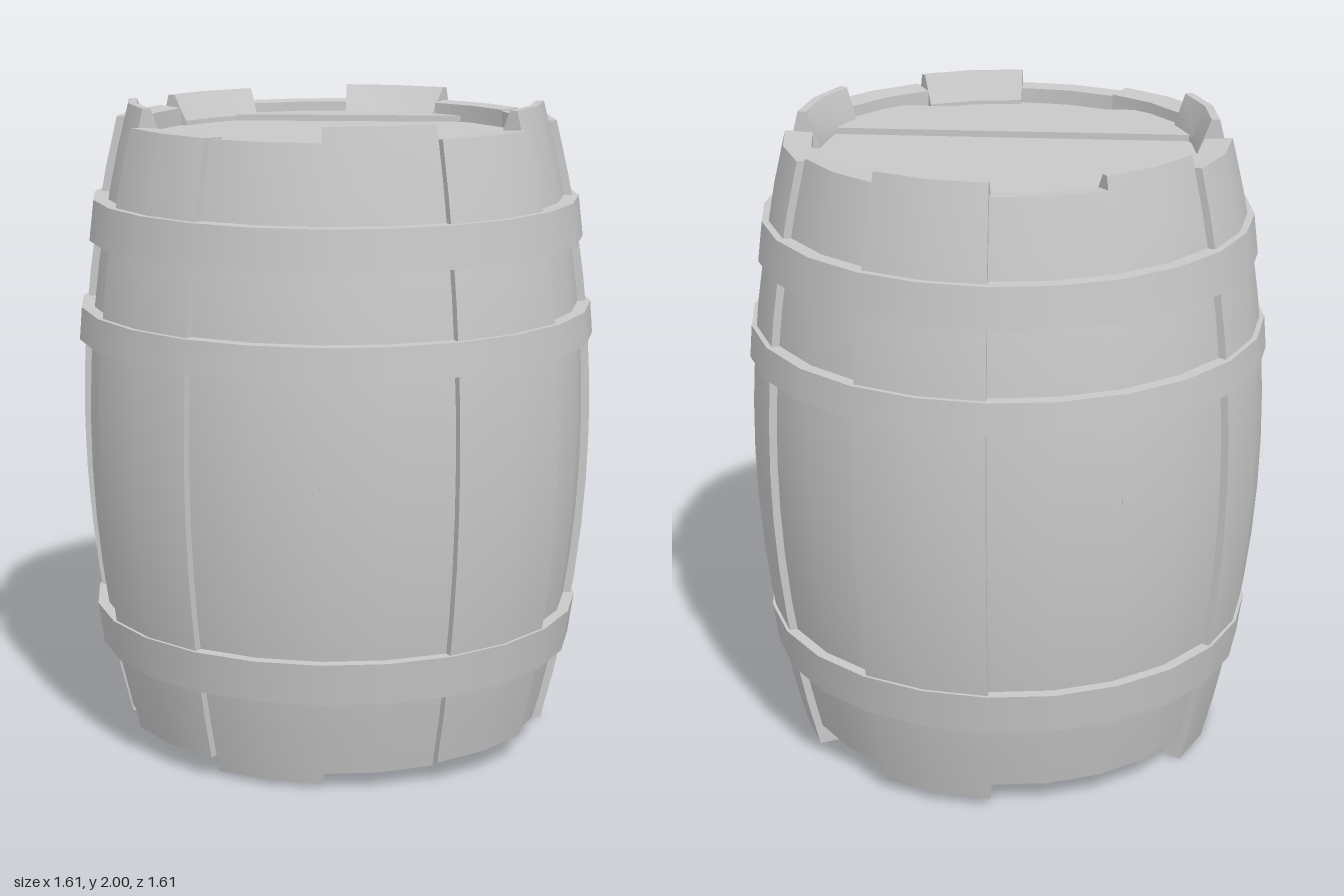
import * as THREE from 'three';
import { mergeGeometries, toCreasedNormals } from 'three/addons/utils/BufferGeometryUtils.js';

const grey = new THREE.MeshStandardMaterial({ color: 0xc8c8c8, side: THREE.DoubleSide });
grey.name = 'grey';

const V = (r, y) => new THREE.Vector2(r, y);
const deg = THREE.MathUtils.degToRad;

function addMesh(group, name, geometry) {
  const mesh = new THREE.Mesh(geometry, grey);
  mesh.name = name;
  group.add(mesh);
}

// Sweep around the axis: smooth outer skin plus sharp-edged remaining faces
function sweep(outer, rest, segments, start, length) {
  const back = [outer[outer.length - 1], ...rest, outer[0]];
  return [
    new THREE.LatheGeometry(outer, segments, start, length).toNonIndexed(),
    toCreasedNormals(new THREE.LatheGeometry(back, segments, start, length), deg(25)),
  ];
}

// One bulging stave covering 30 degrees, with closed side faces
function staveGeometry(angle, belly, bottom, top) {
  const outer = [];
  for (let i = 0; i <= 12; i++) {
    const y = bottom + (top - bottom) * i / 12;
    outer.push(V(belly - 0.136 * (y - 1) ** 2, y));
  }
  const rim = outer[12].x;
  // Tall staves have a sloping inner lip, short ones a flat end
  const lip = top > 1.96
    ? [V(rim - 0.025, top), V(0.575, 1.9), V(0.575, 1.8)]
    : [V(0.595, top - 0.005), V(0.595, 1.8)];
  const rest = [...lip, V(0.6, 0.2), V(0.6, bottom)];
  const start = deg(angle - 15), length = deg(30);
  const parts = sweep(outer, rest, 2, start, length);
  for (const a of [start, start + length]) {
    const side = new THREE.ShapeGeometry(new THREE.Shape([...outer, ...rest]));
    if (a !== start) {
      // turn the far side face outwards
      const index = side.index.array;
      for (let i = 0; i < index.length; i += 3) {
        [index[i], index[i + 1]] = [index[i + 1], index[i]];
      }
      side.computeVertexNormals();
    }
    parts.push(side.rotateY(a - Math.PI / 2).toNonIndexed());
  }
  return mergeGeometries(parts);
}

// Board cut from a disc between two parallel chords
function boardGeometry(r, v0, v1, y, thickness, turn) {
  const a0 = Math.asin(v0 / r), a1 = Math.asin(v1 / r);
  const shape = new THREE.Shape();
  shape.absarc(0, 0, r, a0, a1, false);
  shape.absarc(0, 0, r, Math.PI - a1, Math.PI - a0, false);
  return new THREE.ExtrudeGeometry(shape, { depth: thickness, bevelEnabled: false, curveSegments: 12 })
    .rotateX(-Math.PI / 2).rotateY(turn).translate(0, y, 0);
}

export function createModel() {
  const barrel = new THREE.Group();
  barrel.name = 'barrel';

  // Staves: belly radius, bottom, top; one every 30 degrees from the front
  const low = 0.775, high = 0.8;
  const staves = [
    [high, 0.07, 1.945], [low, 0.015, 1.94], [low, 0.05, 1.985], [high, 0.07, 1.945],
    [low, 0.065, 2.0], [high, 0.005, 1.94], [low, 0.07, 1.945], [high, 0.03, 1.985],
    [low, 0.07, 1.94], [low, 0.07, 1.98], [high, 0, 1.945], [low, 0.08, 2.0],
  ];
  staves.forEach(([belly, bottom, top], i) =>
    addMesh(barrel, 'stave' + (i + 1), staveGeometry(i * 30, belly, bottom, top)));

  // Hoops: bottom y, bottom radius, top y, top radius
  const hoops = [
    ['lowerHoop', 0.3, 0.747, 0.43, 0.765],
    ['middleHoop', 1.28, 0.803, 1.38, 0.795],
    ['upperHoop', 1.585, 0.767, 1.71, 0.752],
  ];
  for (const [name, y0, r0, y1, r1] of hoops) {
    const rest = [V(r1 - 0.08, y1), V(r0 - 0.08, y0)];
    addMesh(barrel, name, mergeGeometries(sweep([V(r0, y0), V(r1, y1)], rest, 24, 0, Math.PI * 2)));
  }

  // Lid and base boards, alternately stepped
  const r = 0.605;
  const cuts = [-r, -0.45, 0.17, 0.46, r];
  const steps = [0.02, 0, 0.02, 0.003];
  steps.forEach((step, i) => {
    addMesh(barrel, 'lidBoard' + (i + 1),
      boardGeometry(r, cuts[i], cuts[i + 1], 1.805 + step, 0.08, -Math.PI * 0.75));
    addMesh(barrel, 'baseBoard' + (i + 1),
      boardGeometry(r, cuts[i], cuts[i + 1], 0.115 - step, 0.08, Math.PI));
  });

  return barrel;
}
